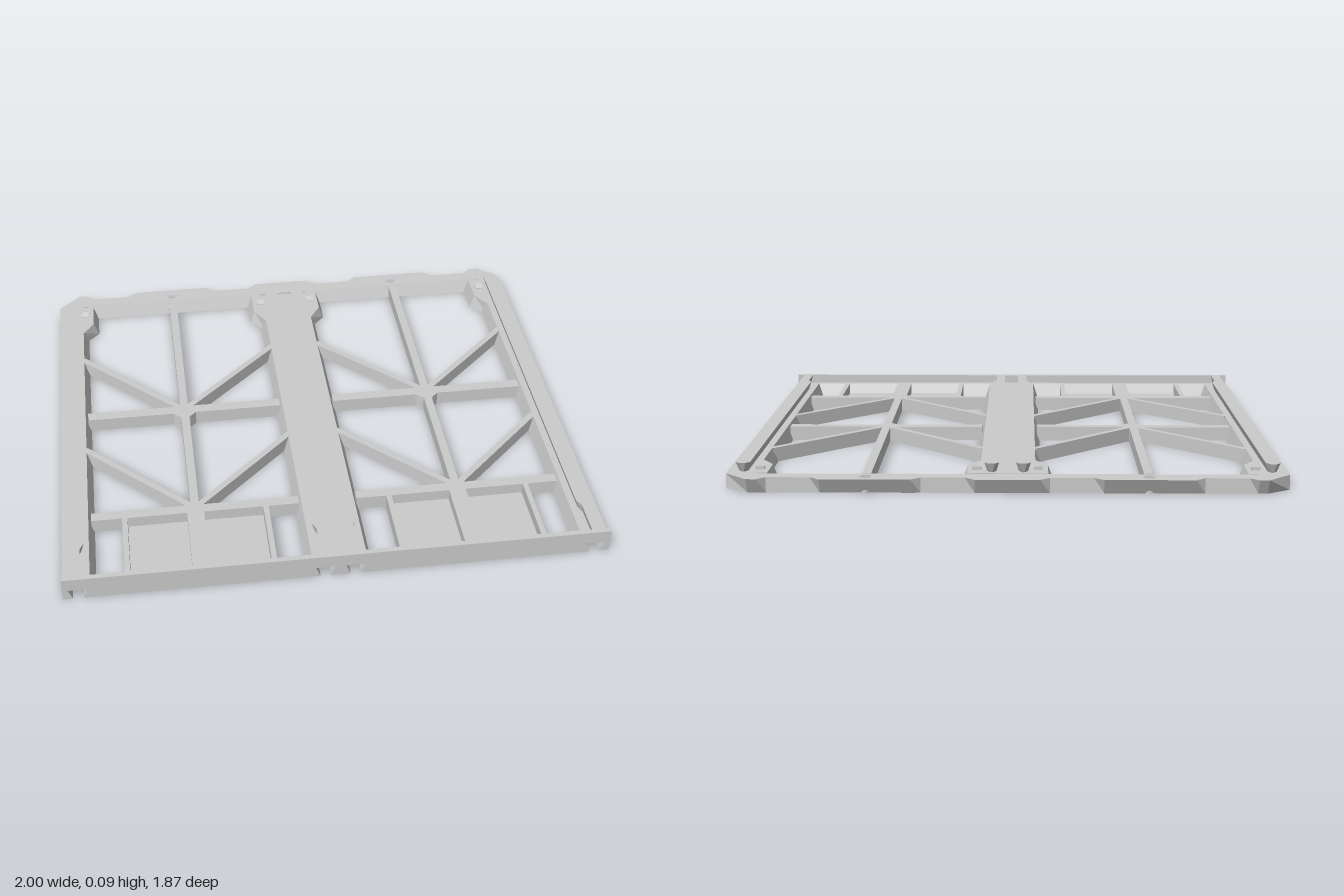
import * as THREE from 'three';

const material = new THREE.MeshStandardMaterial({ color: 0xcccccc, flatShading: true });
const DECK = 0.055, TOP = 0.09, BACK = -0.84, FRONT = 0.935;

const toShape = (pts) => new THREE.Shape(pts.map(([a, b]) => new THREE.Vector2(a, b)));

function mesh(name, geometry) {
  const m = new THREE.Mesh(geometry, material);
  m.name = name;
  return m;
}

// Moves vertices by a rule
function reshape(geometry, rule) {
  const p = geometry.attributes.position, v = new THREE.Vector3();
  for (let i = 0; i < p.count; i++) {
    rule(v.fromBufferAttribute(p, i));
    p.setXYZ(i, v.x, v.y, v.z);
  }
  geometry.computeVertexNormals();
  return geometry;
}

// Plan outline in x, z, raised from y0 to y1
function slab(name, pts, y0, y1, rule, holes = []) {
  const shape = toShape(pts.map(([x, z]) => [x, -z]));
  for (const [x, z, r] of holes) {
    shape.holes.push(new THREE.Path().absarc(x, -z, r, 0, Math.PI * 2, true));
  }
  const g = new THREE.ExtrudeGeometry(shape, { depth: y1 - y0, bevelEnabled: false, curveSegments: 12 });
  g.rotateX(-Math.PI / 2).translate(0, y0, 0);
  return mesh(name, rule ? reshape(g, rule) : g);
}

// Cross-section in x, y, run along z
function run(name, pts, z0, z1) {
  const g = new THREE.ExtrudeGeometry(toShape(pts), { depth: z1 - z0, bevelEnabled: false });
  return mesh(name, g.translate(0, 0, z0));
}

function box(name, x0, x1, y0, y1, z0, z1) {
  const g = new THREE.BoxGeometry(x1 - x0, y1 - y0, z1 - z0);
  return mesh(name, g.translate((x0 + x1) / 2, (y0 + y1) / 2, (z0 + z1) / 2));
}

function strut(name, x0, z0, x1, z1, width) {
  const g = new THREE.BoxGeometry(Math.hypot(x1 - x0, z1 - z0), DECK, width);
  g.rotateY(-Math.atan2(z1 - z0, x1 - x0)).translate((x0 + x1) / 2, DECK / 2, (z0 + z1) / 2);
  return mesh(name, g);
}

// Underside dovetail groove, shared by rails and front wall
const groove = [[0.426, 0], [0.41, 0.04], [0.48, 0.04], [0.464, 0]];

// One side of a panel; s mirrors it
function panelSide(s) {
  const side = new THREE.Group();
  side.name = s > 0 ? 'leftSide' : 'rightSide';
  const flip = (pts) => pts.map(([u, b]) => [u * s, b]);

  // Rail with sloping inner wall and groove beneath
  side.add(run('rail', flip([[0.38, 0], ...groove, [0.5, 0], [0.5, DECK], [0.4, DECK]]), BACK, FRONT - 0.02));
  side.add(run('frontWall', flip([[0, 0], ...groove, [0.5, 0], [0.5, TOP], [0, TOP]]), FRONT - 0.02, FRONT));

  // Dovetail ridge, wider at its top
  const ridge = [[0.417, -0.82], [0.432, BACK], [0.455, BACK], [0.47, -0.82], [0.47, 0.915],
    [0.432, 0.915], [0.432, 0.78], [0.417, 0.75]];
  side.add(slab('ridge', flip(ridge), DECK, TOP, (v) => {
    if (v.y > 0.07) return;
    const u = Math.abs(v.x);
    v.x = s * (u < 0.4435 ? Math.min(u + 0.01, 0.44) : Math.max(u - 0.01, 0.446));
    if (v.z < 0) v.z += 0.015;
  }));

  // Corner gusset with a small catch
  const gusset = [[0.42, BACK], [0.335, BACK], [0.335, -0.71], [0.4, -0.64], [0.42, -0.64]];
  side.add(slab('gusset', flip(gusset), 0, DECK, (v) => {
    if (v.y > 0.03 && Math.abs(v.x) < 0.35) v.x += s * 0.02;
  }));
  side.add(slab('catch', flip([[0.373, -0.79], [0.373, -0.765], [0.405, -0.765], [0.405, -0.79]]),
    DECK, DECK + 0.012, (v) => { if (v.z > -0.78) v.y = Math.min(v.y, DECK + 0.003); }));

  // Diagonal struts and tray wall
  for (const z of [-0.045, 0.565]) side.add(strut('diagonal', 0, z, s * 0.405, z - 0.4, 0.025));
  const [a, b] = [s * 0.255, s * 0.275].sort((p, q) => p - q);
  side.add(box('trayWall', a, b, 0, DECK, 0.58, 0.89));
  return side;
}

function panel(x) {
  const g = new THREE.Group();
  g.name = x > 0 ? 'leftPanel' : 'rightPanel';
  g.position.x = x;
  g.add(panelSide(-1), panelSide(1));

  // Cross bars, spine and hub
  g.add(box('middleBar', -0.39, 0.39, 0, DECK, -0.065, -0.02));
  g.add(box('trayBar', -0.39, 0.39, 0, DECK, 0.55, 0.592));
  g.add(box('spine', -0.016, 0.016, 0, DECK, BACK, 0.56));
  g.add(box('traySpine', -0.032, 0.032, 0, DECK, 0.58, 0.915));
  g.add(slab('hub', [[-0.05, -0.045], [-0.016, -0.08], [0.016, -0.08], [0.05, -0.045],
    [0.05, -0.025], [0.02, 0.005], [-0.02, 0.005], [-0.05, -0.025]], 0, DECK));

  // Thin tray floor and sloping front bar
  g.add(box('trayFloor', -0.265, 0.265, 0, 0.012, 0.58, 0.9));
  g.add(slab('frontBar', [[-0.4, 0.87], [0.4, 0.87], [0.4, 0.92], [-0.4, 0.92]], 0, DECK, (v) => {
    if (v.y > 0.03 && v.z < 0.9) v.z += 0.02;
  }));
  // Sloping inner edge of the back bar
  g.add(slab('backLip', [[-0.4, -0.86], [0.4, -0.86], [0.4, -0.83], [-0.4, -0.83]], 0, DECK, (v) => {
    if (v.y > 0.03 && v.z > -0.85) v.z -= 0.02;
  }));
  return g;
}

export function createModel() {
  const model = new THREE.Group();
  model.name = 'twinPanelFrame';
  model.add(panel(-0.5), panel(0.5));

  // Back bar with tabs chamfered underneath and two round holes
  const half = [[0.115, -0.935], [0.15, -0.905], [0.305, -0.905], [0.34, -0.935], [0.66, -0.935],
    [0.695, -0.905], [0.85, -0.905], [0.88, -0.935], [0.915, -0.935], [1, -0.85], [1, BACK]];
  const outline = [...half, [0.9, BACK], [0.88, -0.85]];
  const mirrored = outline.map(([x, z]) => [-x, z]).reverse();
  model.add(slab('backBar', [...outline, ...mirrored], 0, DECK, (v) => {
    if (v.y < 0.01 && v.z < -0.92) v.z = -0.906;
  }, [[-0.5, -0.89, 0.022], [0.5, -0.89, 0.022]]));
  return model;
}
